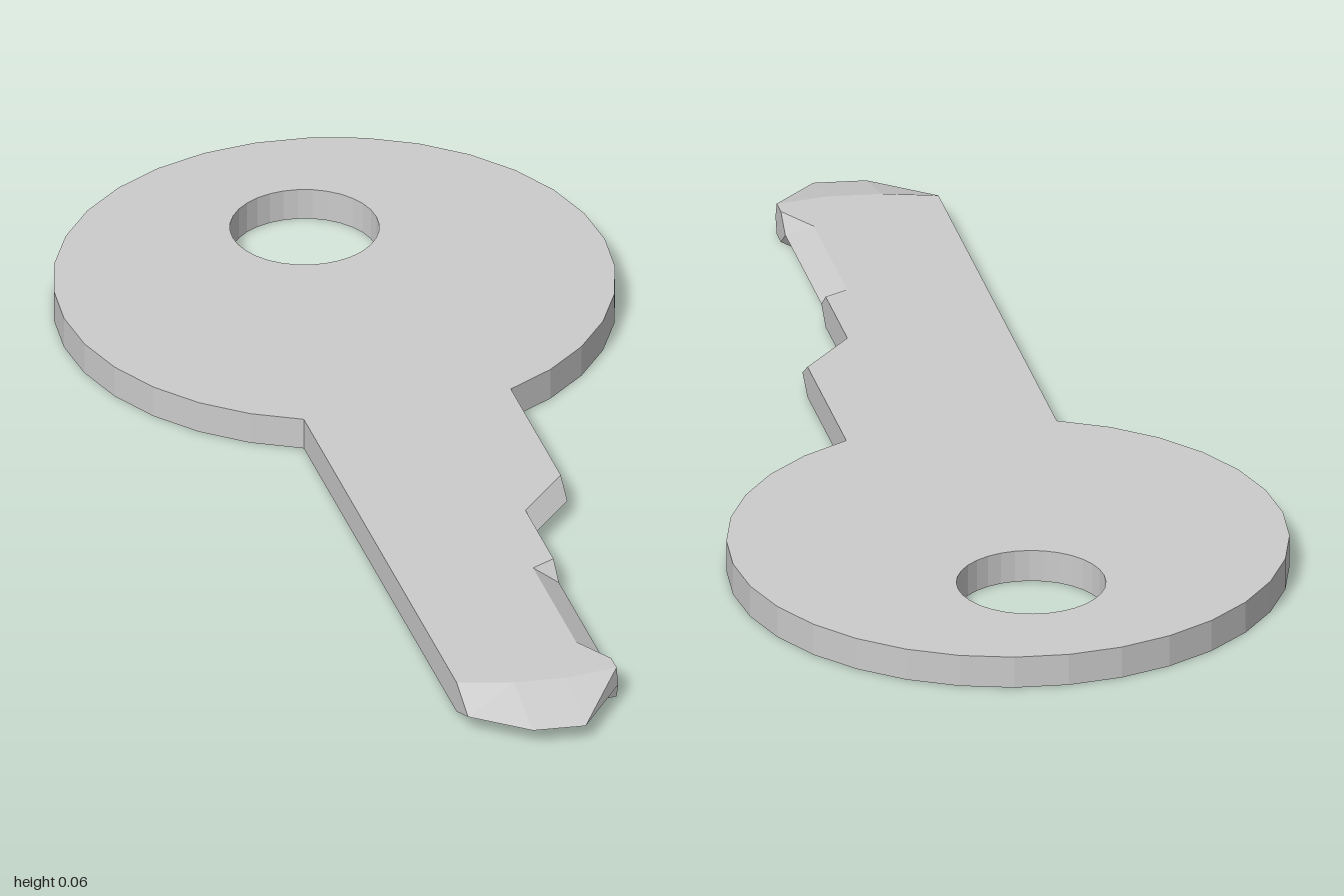
import * as THREE from 'three';

const H = 0.057;            // thickness of the blank
const HEAD_R = 0.478, HEAD_Z = -0.522;
const HOLE_R = 0.127, HOLE_Z = -0.703;
const SIDES = 32;

// Stations round the edge, counter-clockwise seen from above:
// x, z on the flat faces, then x, z at mid thickness where the edge is ground to a ridge.
const shank = [
  [-0.183, 0.845, -0.183, 0.915], // tip
  [-0.09, 0.872, -0.09, 0.99],
  [0, 0.882, 0, 1],
  [0.092, 0.872, 0.092, 0.882],
  [0.092, 0.84, 0.092, 0.805],    // long bite
  [0.05, 0.77, 0.092, 0.805],
  [0.05, 0.51, 0.092, 0.523],
  [0.092, 0.49, 0.092, 0.523],
  [0.092, 0.32, 0.092, 0.36],     // shoulder step
  [0.183, 0.222, 0.183, 0.262],
];

function arc(r, cz, from, to, steps) {
  const pts = [];
  for (let i = 0; i <= steps; i++) {
    const a = from + (to - from) * i / steps;
    const x = r * Math.sin(a), z = cz + r * Math.cos(a);
    pts.push([x, z, x, z]);
  }
  return pts;
}

function buildMesh(name, positions, material) {
  const geo = new THREE.BufferGeometry();
  geo.setAttribute('position', new THREE.Float32BufferAttribute(positions, 3));
  geo.computeVertexNormals();
  const mesh = new THREE.Mesh(geo, material);
  mesh.name = name;
  return mesh;
}

// Edge wall: two bands, bottom to middle and middle to top
function wall(loop) {
  const out = [];
  const ring = (s, k) => k === 1 ? [s[2], H / 2, s[3]] : [s[0], k * H / 2, s[1]];
  loop.forEach((p, i) => {
    const q = loop[(i + 1) % loop.length];
    for (let k = 0; k < 2; k++) {
      const a = ring(p, k), b = ring(q, k), c = ring(q, k + 1), d = ring(p, k + 1);
      out.push(...a, ...b, ...c, ...a, ...c, ...d);
    }
  });
  return out;
}

// Flat face with the hole cut out, at height y
function face(outline, hole, y, up) {
  const to2D = loop => loop.map(s => new THREE.Vector2(s[0], -s[1]));
  const shape = new THREE.Shape(to2D(outline));
  shape.holes.push(new THREE.Path(to2D(hole)));
  const geo = new THREE.ShapeGeometry(shape);
  const pos = geo.attributes.position, idx = geo.index.array, out = [];
  for (let i = 0; i < idx.length; i += 3) {
    const tri = up ? [0, 1, 2] : [0, 2, 1];
    for (const t of tri) out.push(pos.getX(idx[i + t]), y, -pos.getY(idx[i + t]));
  }
  return out;
}

export function createModel() {
  const group = new THREE.Group();
  group.name = 'key';
  const material = new THREE.MeshStandardMaterial({ color: 0xcccccc, flatShading: true });

  // Round head joins the shank one facet either side of its front
  const gap = Math.PI / 8;
  const head = arc(HEAD_R, HEAD_Z, gap, 2 * Math.PI - gap, SIDES - 4);
  const outline = [...shank, ...head];
  const hole = arc(HOLE_R, HOLE_Z, 2 * Math.PI, 0, SIDES).slice(0, -1);

  group.add(
    buildMesh('topFace', face(outline, hole, H, true), material),
    buildMesh('bottomFace', face(outline, hole, 0, false), material),
    buildMesh('cutEdge', wall(outline), material),
    buildMesh('ringHole', wall(hole), material),
  );
  return group;
}
